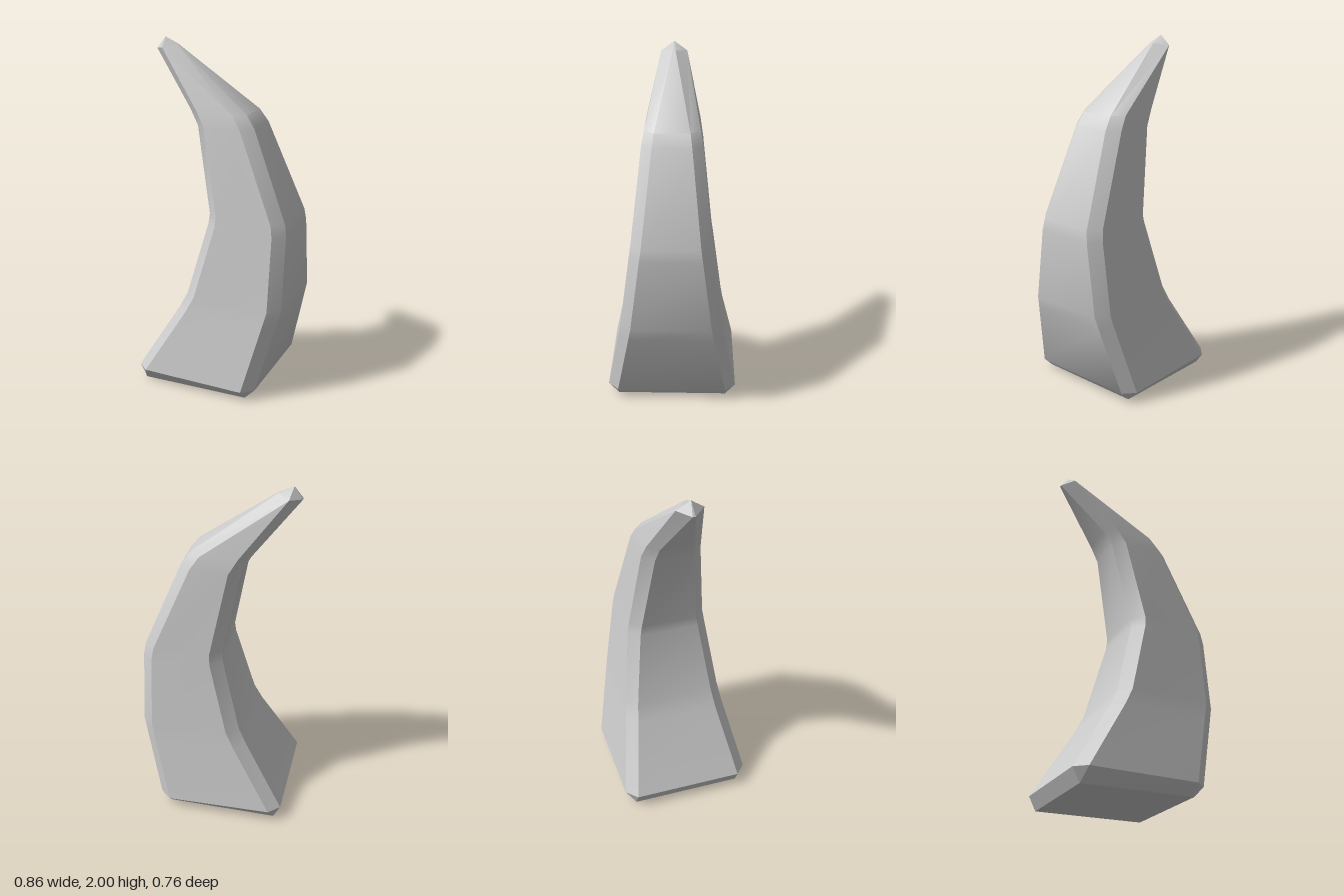
import * as THREE from 'three';
import { toCreasedNormals } from 'three/addons/utils/BufferGeometryUtils.js';

// Cross-sections: [inner x, inner y, outer x, outer y, half width, half width of the end faces, corner chamfer]
const SECTIONS = [
  [-0.39, 0, 0.25, 0, 0.32, 0.32, 0],
  [-0.43, 0.08, 0.31, 0.06, 0.38, 0.32, 0.065],
  [-0.20, 0.46, 0.41, 0.46, 0.305, 0.245, 0.065],
  [-0.15, 0.56, 0.43, 0.54, 0.29, 0.23, 0.065],
  [-0.04, 0.98, 0.43, 0.96, 0.235, 0.175, 0.063],
  [-0.035, 1.04, 0.42, 1.03, 0.225, 0.165, 0.063],
  [-0.13, 1.53, 0.21, 1.54, 0.17, 0.11, 0.063],
  [-0.18, 1.62, 0.16, 1.61, 0.155, 0.10, 0.063],
  [-0.43, 1.935, -0.30, 1.96, 0.075, 0.008, 0.065],
];

// Chamfered rectangle, counter-clockwise seen from above
function ring([lx, ly, rx, ry, w, e, c]) {
  const at = (x, z) => new THREE.Vector3(x, ly + (ry - ly) * (x - lx) / (rx - lx), z);
  return [
    at(rx, e), at(rx, -e), at(rx - c, -w), at(lx + c, -w),
    at(lx, -e), at(lx, e), at(lx + c, w), at(rx - c, w),
  ];
}

function hornGeometry() {
  const positions = [];
  const triangle = (a, b, c) => {
    if (new THREE.Triangle(a, b, c).getArea() < 1e-7) return;
    for (const p of [a, b, c]) positions.push(p.x, p.y, p.z);
  };
  const rings = SECTIONS.map(ring);
  const base = new THREE.Vector3(-0.07, 0, 0);
  const tip = new THREE.Vector3(-0.38, 2, 0);
  const top = rings[rings.length - 1];

  for (let i = 0; i < 8; i++) {
    const j = (i + 1) % 8;
    // Sides between neighbouring sections
    for (let r = 0; r < rings.length - 1; r++) {
      const a = rings[r], b = rings[r + 1];
      triangle(a[i], a[j], b[j]);
      triangle(a[i], b[j], b[i]);
    }
    // Flat base and pointed tip
    triangle(rings[0][j], rings[0][i], base);
    triangle(top[i], top[j], tip);
  }
  const geometry = new THREE.BufferGeometry();
  geometry.setAttribute('position', new THREE.Float32BufferAttribute(positions, 3));
  // Soft bends along the curve, sharp chamfer edges
  return toCreasedNormals(geometry, 0.55);
}

export function createModel() {
  const model = new THREE.Group();
  model.name = 'curvedHorn';
  const horn = new THREE.Mesh(hornGeometry(), new THREE.MeshStandardMaterial({ color: 0xcccccc }));
  horn.name = 'horn';
  model.add(horn);
  return model;
}
